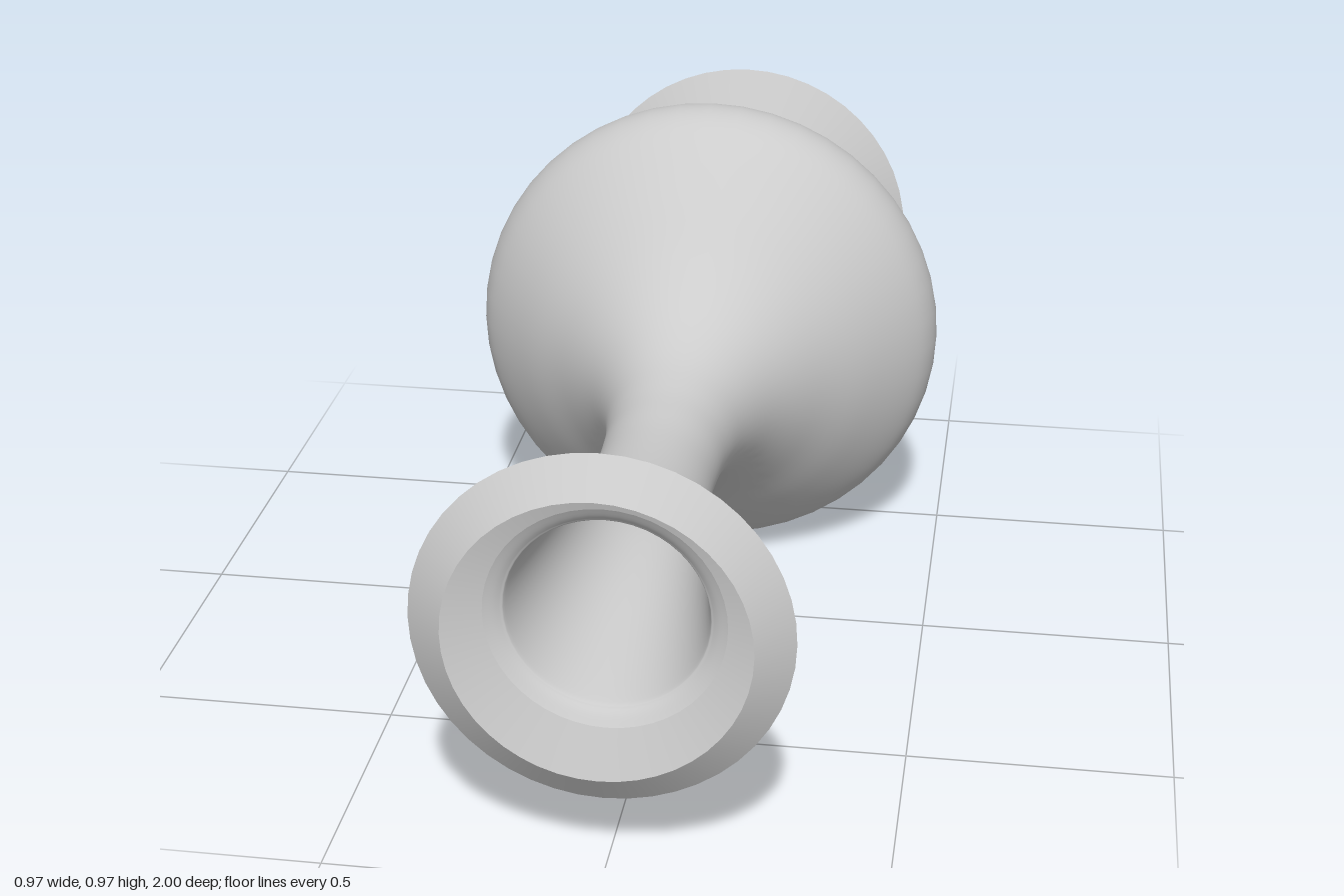
import * as THREE from 'three';

const AXIS_HEIGHT = 0.487;
const SIDES = 48;

export function createModel() {
  const vase = new THREE.Group();
  vase.name = 'vase';
  const material = new THREE.MeshStandardMaterial({ color: 0xcccccc, side: THREE.DoubleSide });

  // Turns a profile of [radius, z] pairs (back to front) around the lying axis.
  function turn(name, profile, smoothSteps = 0) {
    let points = profile.map(([r, z]) => new THREE.Vector2(r, z));
    if (smoothSteps) points = new THREE.SplineCurve(points).getPoints(smoothSteps);
    const geometry = new THREE.LatheGeometry(points, SIDES);
    geometry.rotateX(Math.PI / 2);
    const mesh = new THREE.Mesh(geometry, material);
    mesh.name = name;
    mesh.position.y = AXIS_HEIGHT;
    vase.add(mesh);
  }

  // Shallow hollow under the foot
  turn('footUnderside', [[0, -0.93], [0.373, -1]]);

  // Flared foot
  turn('foot', [[0.373, -1], [0.2, -0.913]]);

  // Bulb and long neck, with small fillets at both ends
  turn('body', [
    [0.2, -0.913], [0.179, -0.895], [0.18, -0.86], [0.212, -0.8], [0.27, -0.7],
    [0.35, -0.6], [0.437, -0.5], [0.474, -0.44], [0.486, -0.385], [0.475, -0.33],
    [0.44, -0.275], [0.36, -0.185], [0.267, -0.09], [0.19, 0.01], [0.143, 0.11],
    [0.121, 0.21], [0.114, 0.3], [0.113, 0.4], [0.124, 0.54], [0.146, 0.7],
    [0.175, 0.87], [0.186, 0.897], [0.212, 0.915],
  ], 110);

  // Flared mouth and its turned-in lip
  turn('mouthFlange', [[0.212, 0.915], [0.333, 0.95]]);
  turn('lip', [[0.333, 0.95], [0.267, 1]]);

  return vase;
}
